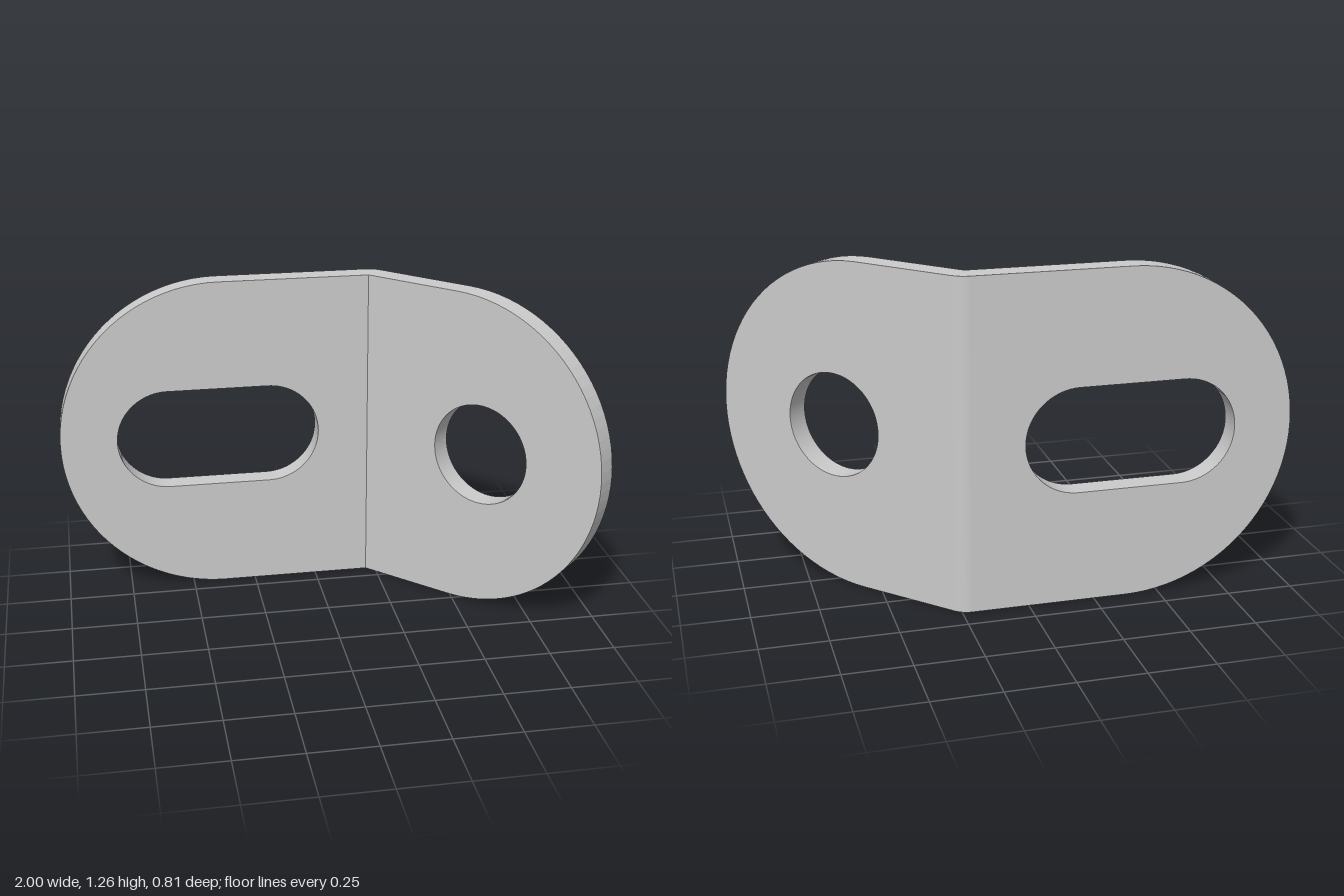
import * as THREE from 'three';

const T = 0.089;            // sheet thickness
const R = 0.628;            // radius of the rounded ends, half the height
const BEND_X = 0.213;       // inner crease line
const BEND_Z = -0.32;
const HOLE_R = 0.2;

// Plate running along +x from the bend to a round end, pierced by a slot
// whose end centres lie at a and b (a round hole when a equals b).
function plate(name, length, a, b, material) {
  const shape = new THREE.Shape();
  shape.moveTo(0, 0);
  shape.lineTo(length - R, 0);
  shape.absarc(length - R, R, R, -Math.PI / 2, Math.PI / 2, false);
  shape.lineTo(0, 2 * R);
  shape.closePath();

  const hole = new THREE.Path();
  hole.absarc(b, R, HOLE_R, -Math.PI / 2, Math.PI / 2, false);
  hole.absarc(a, R, HOLE_R, Math.PI / 2, Math.PI * 1.5, false);
  shape.holes.push(hole);

  const geometry = new THREE.ExtrudeGeometry(shape, {
    depth: T, bevelEnabled: false, curveSegments: 24,
  });
  geometry.translate(0, 0, -T);
  const mesh = new THREE.Mesh(geometry, material);
  mesh.name = name;
  return mesh;
}

export function createModel() {
  const group = new THREE.Group();
  group.name = 'angleBracket';
  const material = new THREE.MeshStandardMaterial({ color: 0xcccccc });

  // Straight leg with the long slot, turned to run towards -x
  const slotted = plate('slottedLeg', BEND_X + 1, 0.398, 0.793, material);
  slotted.position.set(BEND_X, 0, BEND_Z - T);
  slotted.rotation.y = Math.PI;

  // Leg folded forward by 45 degrees, with the round hole
  const folded = plate('foldedLeg', 1.026, 0.517, 0.517, material);
  folded.position.set(BEND_X, 0, BEND_Z);
  folded.rotation.y = -Math.PI / 4;

  // Rounded outside of the bend, a cylinder sector about the inner crease
  const bend = new THREE.Mesh(
    new THREE.CylinderGeometry(T, T, 2 * R, 10, 1, false, Math.PI * 0.75, Math.PI / 4),
    material,
  );
  bend.name = 'bend';
  bend.position.set(BEND_X, R, BEND_Z);

  group.add(slotted, folded, bend);
  return group;
}
